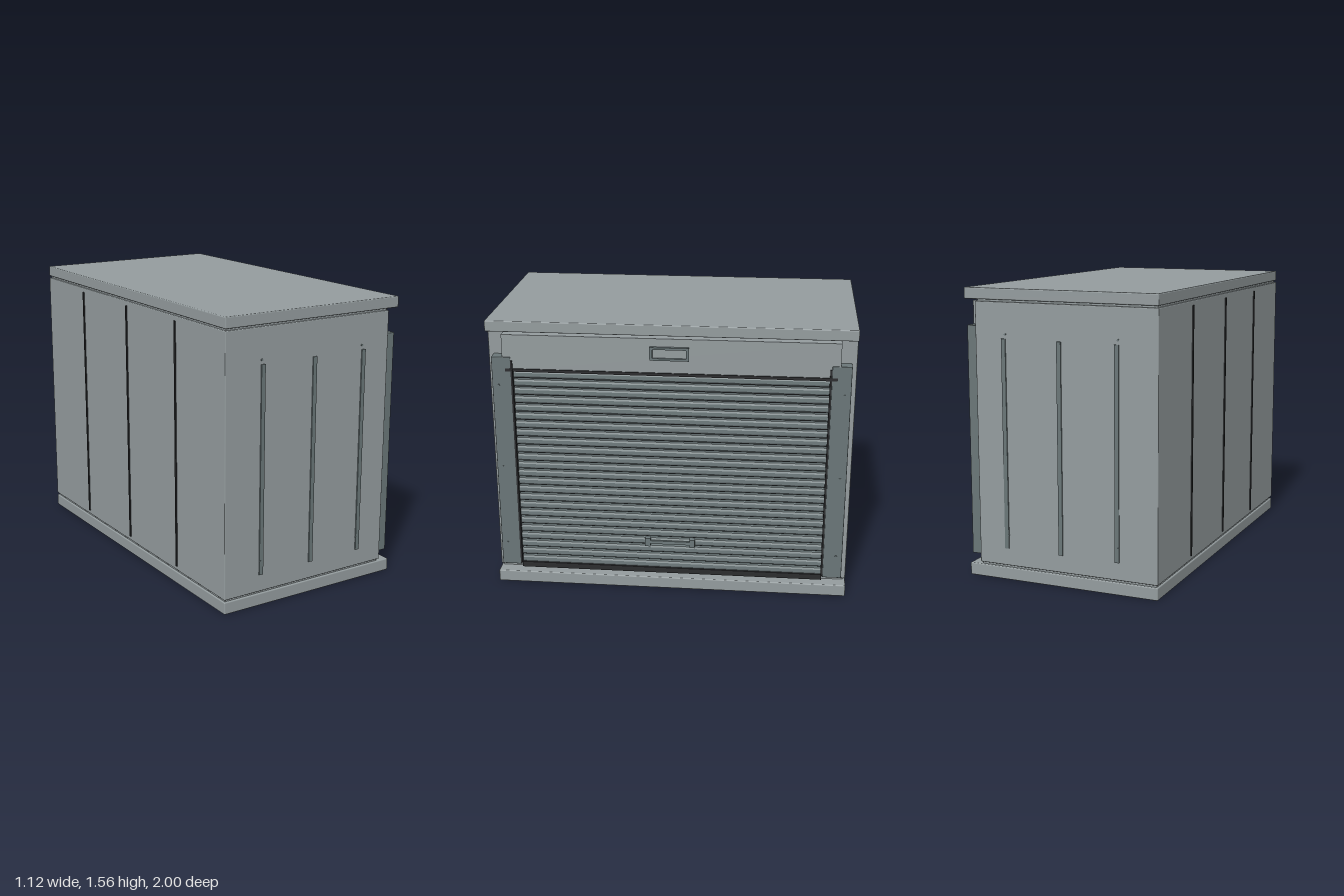
import * as THREE from 'three';
import { RoundedBoxGeometry } from 'three/addons/geometries/RoundedBoxGeometry.js';

export function createModel() {
  const model = new THREE.Group();
  model.name = 'rollerShutterCabinet';
  const material = (name, color) => {
    const m = new THREE.MeshStandardMaterial({ color });
    m.name = name;
    return m;
  };
  const panel = material('panelGrey', 0x949c9e);
  const trim = material('trimGrey', 0x6a7678);
  const slat = material('slatGrey', 0x6f7b7d);
  const dark = material('sealBlack', 0x2b2c2e);

  const add = (name, geometry, mat, x = 0, y = 0, z = 0) => {
    const mesh = new THREE.Mesh(geometry, mat);
    mesh.name = name;
    mesh.position.set(x, y, z);
    model.add(mesh);
    return mesh;
  };
  // Box given by its limits on each axis, optionally with rounded edges
  const box = (name, mat, [x0, x1], [y0, y1], [z0, z1], r = 0) => {
    const size = [x1 - x0, y1 - y0, z1 - z0];
    const g = r ? new RoundedBoxGeometry(...size, 2, r) : new THREE.BoxGeometry(...size);
    return add(name, g, mat, (x0 + x1) / 2, (y0 + y1) / 2, (z0 + z1) / 2);
  };

  // Base, body and roof, with a recessed core showing in the gaps
  box('base', panel, [-0.555, 0.545], [0, 0.068], [-0.992, 0.992], 0.006);
  box('roof', panel, [-0.555, 0.545], [1.5, 1.56], [-0.992, 0.992], 0.006);
  box('body', panel, [-0.555, 0.48], [0.08, 1.49], [-0.992, 0.992], 0.005);
  box('core', panel, [-0.545, 0.47], [0.05, 1.51], [-0.98, 0.98]);

  // Shutter housing above the door
  box('header', panel, [0.475, 0.541], [1.28, 1.485], [-0.905, 0.905]);

  // Label holder: frame with a recessed plate
  const frameShape = new THREE.Shape();
  frameShape.moveTo(-0.105, -0.036).lineTo(0.105, -0.036).lineTo(0.105, 0.036).lineTo(-0.105, 0.036);
  const opening = new THREE.Path();
  opening.moveTo(-0.09, -0.024).lineTo(-0.09, 0.024).lineTo(0.09, 0.024).lineTo(0.09, -0.024);
  frameShape.holes.push(opening);
  const frameGeometry = new THREE.ExtrudeGeometry(frameShape, { depth: 0.019, bevelEnabled: false });
  frameGeometry.rotateY(Math.PI / 2);
  add('labelFrame', frameGeometry, trim, 0.541, 1.405, 0);
  box('labelPlate', panel, [0.541, 0.548], [1.381, 1.429], [-0.09, 0.09]);

  // Corrugated shutter: one repeated slat profile swept across the opening
  const slats = 24, bottom = 0.12, pitch = (1.285 - bottom) / slats;
  const profile = [[0.508, 0], [0.522, 0.06], [0.528, 0.26], [0.528, 0.64], [0.522, 0.84], [0.508, 0.9]];
  const shutterShape = new THREE.Shape();
  shutterShape.moveTo(0.478, bottom);
  for (let i = 0; i < slats; i++) {
    for (const [x, t] of profile) shutterShape.lineTo(x, bottom + (i + t) * pitch);
  }
  shutterShape.lineTo(0.478, bottom + slats * pitch);
  const shutterGeometry = new THREE.ExtrudeGeometry(shutterShape, { depth: 1.72, bevelEnabled: false });
  add('shutter', shutterGeometry, slat, 0, 0, -0.86);
  for (let i = 1; i < slats; i++) {
    const y = bottom + i * pitch;
    box('slatJoint', dark, [0.5, 0.5095], [y - 0.004, y - 0.001], [-0.855, 0.855]);
  }
  box('shutterBottomBar', dark, [0.478, 0.525], [0.088, 0.12], [-0.855, 0.855]);
  box('topSeal', dark, [0.525, 0.548], [1.28, 1.296], [-0.89, 0.89]);

  // Pull handle
  box('handleBar', slat, [0.534, 0.545], [0.279, 0.298], [-0.115, 0.115]);
  for (const s of [-1, 1]) {
    box('handleBracket', trim, [0.52, 0.548], [0.264, 0.312], [s * 0.125 - 0.015, s * 0.125 + 0.015]);
  }

  // Both sides: guide rails, seals, rivets and side panel ribs
  const screw = new THREE.CylinderGeometry(0.006, 0.006, 0.006, 12);
  for (const s of [-1, 1]) {
    const span = (a, b) => (s > 0 ? [a, b] : [-b, -a]);
    box('guideRail', trim, [0.478, 0.545], [0.115, 1.36], span(0.86, 0.965), 0.003);
    box('railSeal', dark, [0.51, 0.55], [0.125, 1.34], span(0.85, 0.86));
    for (const y of [0.25, 0.72, 1.2]) {
      add('railRivet', screw, trim, 0.546, y, s * 0.93).rotation.z = -Math.PI / 2;
    }
    for (const x of [-0.33, -0.008, 0.312]) {
      box('sideRib', trim, [x - 0.012, x + 0.012], [0.175, 1.3], span(0.985, 0.998));
    }
    for (const x of [-0.338, 0.302]) {
      for (const y of [0.25, 1.323]) {
        add('sideScrew', screw, trim, x, y, s * (y < 1 ? 0.997 : 0.993)).rotation.x = Math.PI / 2;
      }
    }
  }

  // Back panel seams
  for (const z of [-0.52, 0, 0.52]) {
    box('backSeam', dark, [-0.561, -0.55], [0.105, 1.465], [z - 0.006, z + 0.006]);
  }
  return model;
}
